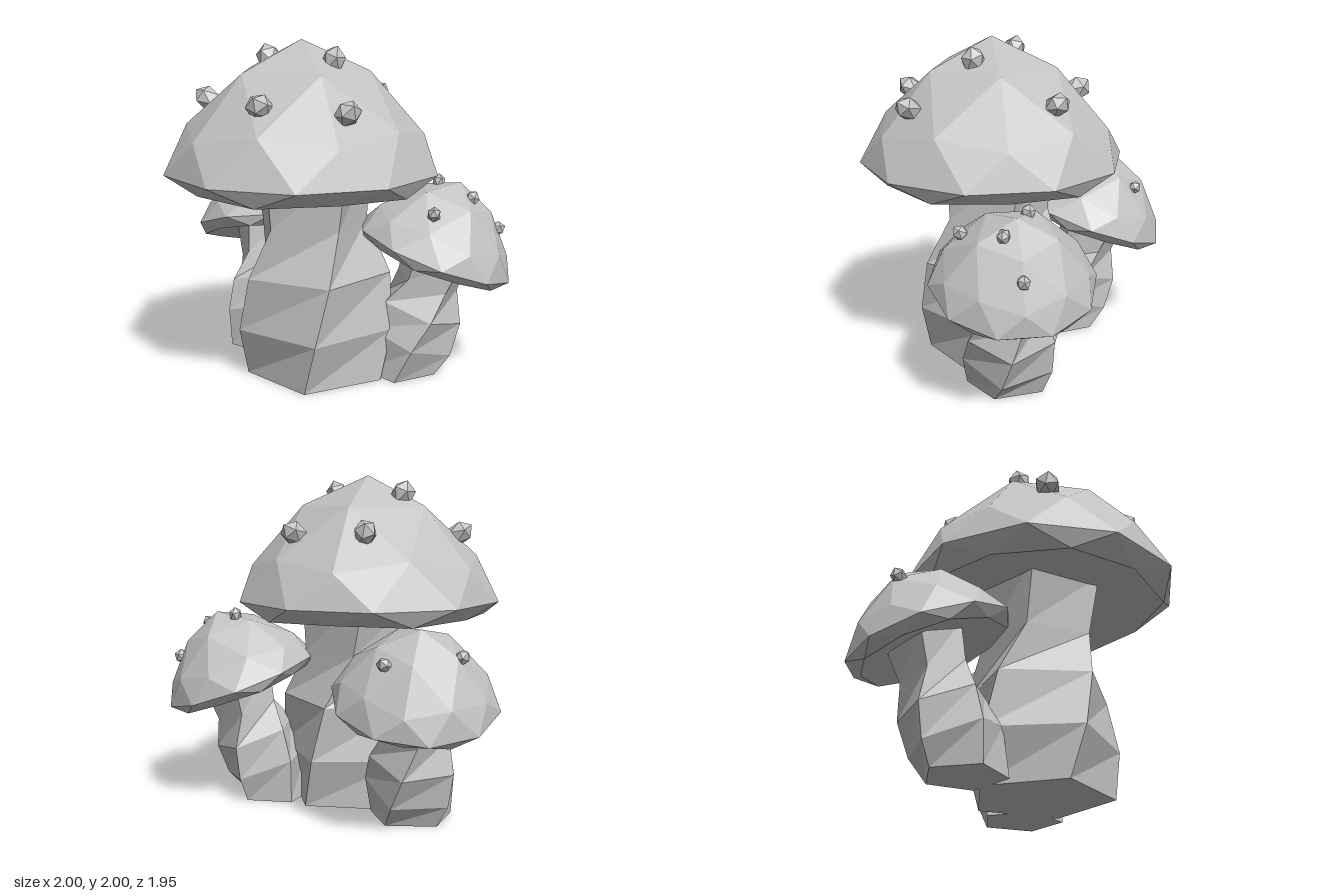
import * as THREE from 'three';

const paint = new THREE.MeshStandardMaterial({ color: 0xc2c2c2 });
paint.name = 'plain grey';

const rad = THREE.MathUtils.degToRad;

// Faceted ball with one vertex pointing straight up
function ball(radius, detail) {
  return new THREE.IcosahedronGeometry(radius, detail)
    .rotateZ(-Math.atan(2 / (1 + Math.sqrt(5))));
}

// Moves every vertex by a rule and gives each facet its own flat normal
function reshape(geometry, rule) {
  const g = geometry.index ? geometry.toNonIndexed() : geometry;
  const p = g.attributes.position;
  const v = new THREE.Vector3();
  for (let i = 0; i < p.count; i++) {
    rule(v.fromBufferAttribute(p, i));
    p.setXYZ(i, v.x, v.y, v.z);
  }
  g.computeVertexNormals();
  return g;
}

// Domed, slightly pointed cap whose underside is hollowed around the stem
function capGeometry(matrix) {
  const radius = 0.815, height = 0.75;
  return reshape(ball(1, 1), v => {
    const y = v.y;
    const r = y > 0 ? radius * (1 - 0.1 * y * y) : radius;
    let lift = height * (0.3 * y + 0.7 * y * y);
    if (y < -0.6) lift = -0.01;       // hollow
    else if (y < -0.5) lift = -0.09;  // lip
    else if (y < -0.1) lift = -0.1;
    v.set(v.x * r, 1.25 + lift, v.z * r).applyMatrix4(matrix);
  });
}

// Five-sided twisted stem: height, radius, twist in degrees, sideways offset
const RINGS = [
  [0, 0.425, 9, 0.085],
  [0.3, 0.475, -1, 0.075],
  [0.63, 0.445, -11, 0.08],
  [0.93, 0.335, -29, 0.055],
  [1.3, 0.385, -36, 0.035],
];
function stemGeometry(matrix, [leanX, leanZ]) {
  const last = RINGS.length - 1;
  return reshape(new THREE.CylinderGeometry(1, 1, 1, 5, last), v => {
    const level = Math.round((v.y + 0.5) * last);
    const [y, radius, twist, shift] = RINGS[level];
    const a = Math.atan2(v.z, v.x) + rad(twist);
    const r = Math.hypot(v.x, v.z) * radius;
    v.set(shift * leanX + r * Math.cos(a), y, shift * leanZ + r * Math.sin(a)).applyMatrix4(matrix);
    if (level === 0) v.y = 0; // base sits flat on the ground
  });
}

function mesh(name, geometry) {
  const m = new THREE.Mesh(geometry, paint);
  m.name = name;
  return m;
}

function mushroom({ name, base, tilt = [0, 0, 0], lean = [1, 0], size, wartSize, warts }) {
  const group = new THREE.Group();
  group.name = name;
  const matrix = new THREE.Matrix4().compose(
    new THREE.Vector3(...base),
    new THREE.Quaternion().setFromEuler(new THREE.Euler(...tilt.map(rad), 'YXZ')),
    new THREE.Vector3(size, size, size)
  );
  group.add(mesh('stem', stemGeometry(matrix, lean)));
  group.add(mesh('cap', capGeometry(matrix)));

  // Warts stand out from the cap along its dome
  const centre = new THREE.Vector3(0, 1.25, 0).applyMatrix4(matrix);
  const up = new THREE.Vector3(0, 1, 0);
  warts.forEach((at, i) => {
    const wart = mesh('wart', reshape(ball(wartSize, 0), v => { v.x *= 0.9; v.y *= 1.15; }));
    wart.position.set(...at);
    wart.quaternion.setFromUnitVectors(up, wart.position.clone().sub(centre).normalize());
    wart.rotateY(i * 0.9);
    group.add(wart);
  });
  return group;
}

export function createModel() {
  const model = new THREE.Group();
  model.name = 'mushroomCluster';
  model.add(
    mushroom({
      name: 'largeMushroom', base: [-0.225, 0, 0.16], size: 1, wartSize: 0.078,
      warts: [
        [-0.19, 1.67, -0.36], [0.22, 1.66, -0.16], [-0.425, 1.885, -0.01], [-0.78, 1.65, 0.08],
        [-0.04, 1.885, 0.29], [-0.43, 1.66, 0.64], [0.04, 1.63, 0.68],
      ],
    }),
    mushroom({
      name: 'leftMushroom', base: [0.308, 0.05, 0.15], tilt: [0, 0, -20], size: 0.592, wartSize: 0.045,
      warts: [[0.59, 1.15, 0.07], [0.77, 1.08, 0.23], [0.935, 0.88, 0.15], [0.53, 1.03, 0.44]],
    }),
    mushroom({
      name: 'backMushroom', base: [-0.445, 0.055, -0.275], tilt: [-20, 5, 0], lean: [-0.4, -1],
      size: 0.592, wartSize: 0.046,
      warts: [[-0.7, 1.02, -0.73], [-0.28, 0.985, -0.77]],
    })
  );
  return model;
}
